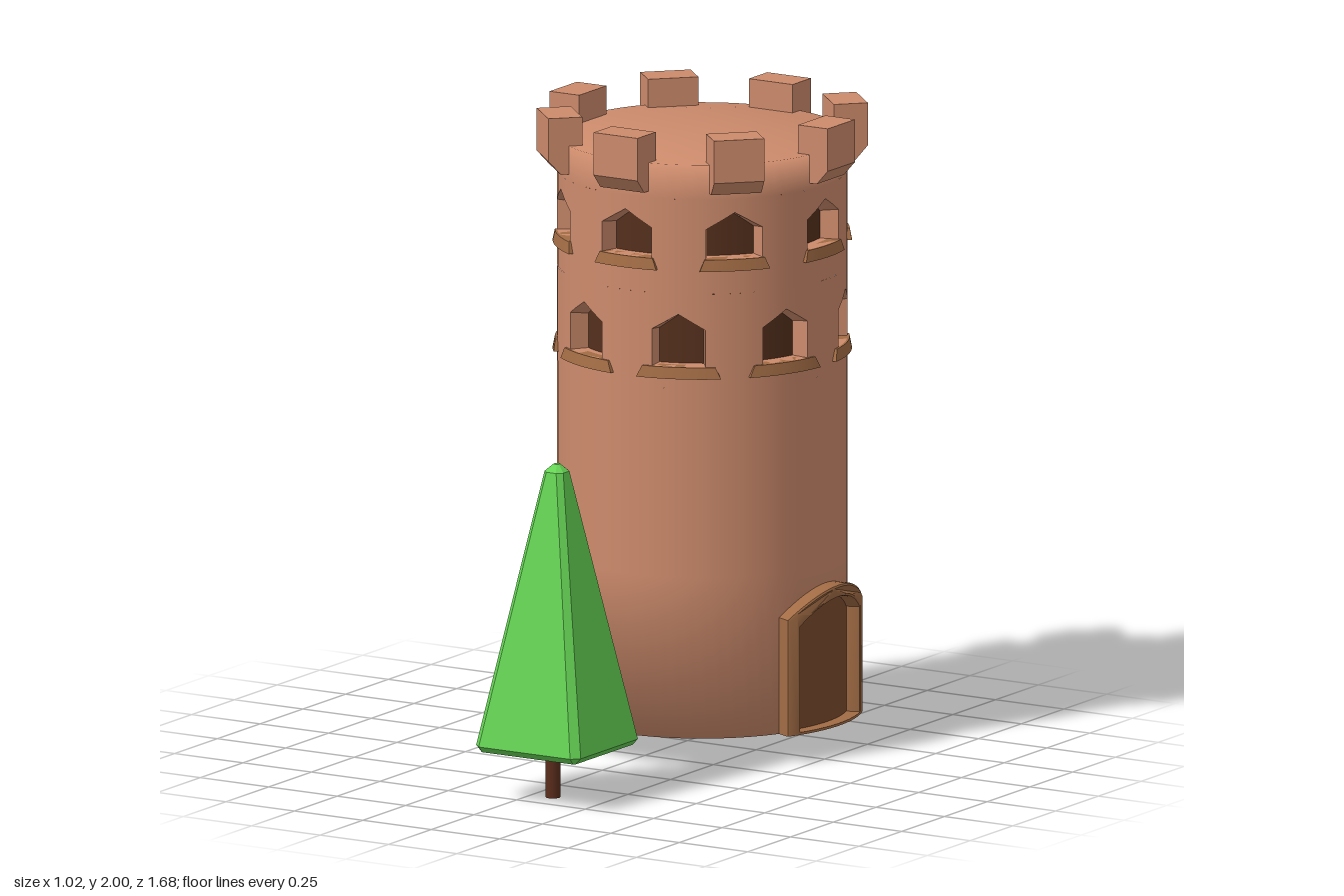
import * as THREE from 'three';
import { toCreasedNormals } from 'three/addons/utils/BufferGeometryUtils.js';
import { ConvexGeometry } from 'three/addons/geometries/ConvexGeometry.js';

const R = 0.45; // tower radius
const BASE = 0.09; // foot of the tower
const mat = (color, extra = {}) => new THREE.MeshStandardMaterial({ color, ...extra });

const stone = mat(0xcd8b6c);
const stoneThin = mat(0xcd8b6c, { side: THREE.DoubleSide });
const trim = mat(0xa26c45);
const dark = mat(0x55301d, { side: THREE.DoubleSide });
const doorWood = mat(0x7a4a2c, { side: THREE.DoubleSide });
const leaf = mat(0x66d455, { flatShading: true });
const bark = mat(0x5a2d1c);

function add(parent, name, geometry, material) {
  const mesh = new THREE.Mesh(geometry, material);
  mesh.name = name;
  parent.add(mesh);
  return mesh;
}

// Wraps a flat geometry round the tower: x becomes arc length, z becomes distance out from radius r
function bend(geometry, r) {
  const p = geometry.attributes.position;
  for (let i = 0; i < p.count; i++) {
    const a = p.getX(i) / R, d = r + p.getZ(i);
    p.setXYZ(i, d * Math.sin(a), p.getY(i), d * Math.cos(a));
  }
  geometry.computeVertexNormals();
  return geometry;
}

// Curved wall patch between two height functions of the arc position
function patch(u0, u1, bottom, top, r, segs) {
  const g = new THREE.PlaneGeometry(1, 1, segs, 1);
  const p = g.attributes.position;
  for (let i = 0; i < p.count; i++) {
    const u = u0 + (p.getX(i) + 0.5) * (u1 - u0);
    p.setXY(i, u, p.getY(i) > 0 ? top(u) : bottom(u));
  }
  bend(g, r);
  for (let i = 0; i < p.count; i++) {
    g.attributes.normal.setXYZ(i, p.getX(i) / r, 0, p.getZ(i) / r);
  }
  return g;
}

// Strip joining two closed loops of points
function loft(a, b) {
  const pts = [];
  a.forEach((p, i) => {
    const j = (i + 1) % a.length;
    pts.push(p, b[i], a[j], a[j], b[i], b[j]);
  });
  const g = new THREE.BufferGeometry().setFromPoints(pts);
  g.computeVertexNormals();
  return g;
}

// One eighth of a wall band, with a recessed gabled window and a sill
function windowBay(o) {
  const bay = new THREE.Group();
  bay.name = 'windowBay';
  const edge = R * Math.PI / 8, w = o.half;
  const low = () => o.y0, high = () => o.y1, foot = () => o.sill;
  const gable = u => o.peak - (o.peak - o.shoulder) * Math.abs(u) / w;
  add(bay, 'wallLeft', patch(w, edge, low, high, R, 3), stone);
  add(bay, 'wallRight', patch(-edge, -w, low, high, R, 3), stone);
  add(bay, 'wallBelow', patch(-w, w, low, foot, R, 4), stone);
  add(bay, 'wallAbove', patch(-w, w, gable, high, R, 4), stone);

  const depth = 0.06, k = 0.95;
  const outline = [[-1, 0], [-0.5, 0], [0, 0], [0.5, 0], [1, 0], [1, 1], [0.5, 1], [0, 1], [-0.5, 1], [-1, 1]];
  const loop = (r, s) => outline.map(([t, up]) => {
    const a = t * w * s / R;
    return new THREE.Vector3(r * Math.sin(a), up ? gable(t * w) - (1 - s) * 0.15 : o.sill, r * Math.cos(a));
  });
  add(bay, 'windowReveal', loft(loop(R, 1), loop(R - depth, k)), stoneThin);
  add(bay, 'windowPane', patch(-w * k, w * k, foot, u => gable(u / k) - (1 - k) * 0.15, R - depth, 4), dark);

  // Sill, narrower and shallower at its top
  const sill = new THREE.BoxGeometry(2 * o.ledge, 0.036, 0.05, 8, 1, 1);
  const p = sill.attributes.position;
  for (let i = 0; i < p.count; i++) {
    if (p.getY(i) > 0) {
      p.setX(i, p.getX(i) * 0.87);
      if (p.getZ(i) > 0) p.setZ(i, 0.018);
    }
  }
  sill.translate(0, o.sill - 0.018, 0);
  add(bay, 'windowSill', bend(sill, R - 0.011), trim);
  return bay;
}

function doorway() {
  const door = new THREE.Group();
  door.name = 'doorway';
  const arch = (w, shoulder, peak) => u => peak - (peak - shoulder) * (u / w) ** 2;
  const wo = 0.197, wi = 0.167, n = 16;
  const outer = arch(wo, 0.455, 0.53), inner = arch(wi, 0.435, 0.505);

  const pts = [new THREE.Vector2(-wo, BASE)];
  for (let i = 0; i <= n; i++) {
    const u = wo * (2 * i / n - 1);
    pts.push(new THREE.Vector2(u, outer(u)));
  }
  pts.push(new THREE.Vector2(wo, BASE), new THREE.Vector2(wi, BASE));
  for (let i = 0; i <= n; i++) {
    const u = wi * (1 - 2 * i / n);
    pts.push(new THREE.Vector2(u, inner(u)));
  }
  pts.push(new THREE.Vector2(-wi, BASE));
  const frame = new THREE.ExtrudeGeometry(new THREE.Shape(pts), {
    depth: 0.055, bevelThickness: 0.01, bevelSize: 0.008, bevelSegments: 2,
  });
  // Keep the bevel from hanging below the foot of the tower
  const p = frame.attributes.position;
  for (let i = 0; i < p.count; i++) p.setY(i, Math.max(p.getY(i), BASE));
  add(door, 'doorFrame', toCreasedNormals(bend(frame, R - 0.015), 0.6), trim);

  add(door, 'doorPanel', patch(-0.18, 0.18, () => BASE, arch(0.18, 0.44, 0.515), R + 0.006, 16), doorWood);
  const step = new THREE.BoxGeometry(2 * wo, 0.008, 0.06, 12, 1, 1).translate(0, BASE + 0.004, 0);
  add(door, 'doorStep', bend(step, R + 0.02), trim);
  door.rotation.y = Math.PI / 2;
  return door;
}

function tower() {
  const g = new THREE.Group();
  g.name = 'tower';
  const lathe = pts => new THREE.LatheGeometry(pts.map(p => new THREE.Vector2(...p)), 64);
  add(g, 'lowerWall', lathe([[0, BASE], [R, BASE], [R, 0.6], [R, 1.2]]), stone);
  add(g, 'roofAndRim', lathe([[R, 1.8], [R, 1.91], [0, 1.91]]), stone);

  const rows = [
    { y0: 1.2, y1: 1.5, sill: 1.268, shoulder: 1.385, peak: 1.435, half: 0.085, ledge: 0.132, turn: Math.PI / 8 },
    { y0: 1.5, y1: 1.8, sill: 1.61, shoulder: 1.705, peak: 1.757, half: 0.091, ledge: 0.11, turn: 0 },
  ];
  // Battlement block, seen from the side: distance out, height
  const profile = [[0.4, 2], [0.4, 1.89], [0.43, 1.82], [0.468, 1.82], [0.508, 1.865], [0.508, 2]];
  const block = new THREE.ExtrudeGeometry(
    new THREE.Shape(profile.map(p => new THREE.Vector2(...p))),
    { depth: 0.16, bevelEnabled: false },
  ).translate(0, 0, -0.08).rotateY(-Math.PI / 2);

  for (let i = 0; i < 8; i++) {
    const a = i * Math.PI / 4;
    for (const row of rows) {
      const bay = windowBay(row);
      bay.rotation.y = a + row.turn;
      g.add(bay);
    }
    add(g, 'battlement', block, stone).rotation.y = a;
  }
  g.add(doorway());
  g.position.z = -0.335;
  return g;
}

function tree() {
  const g = new THREE.Group();
  g.name = 'tree';
  // Square sections with cut corners: height, half width, corner cut
  const sections = [[0.155, 0.172, 0.006], [0.175, 0.191, 0.024], [1.035, 0.034, 0.016], [1.058, 0.01, 0.006]];
  const pts = [];
  for (const [y, h, c] of sections) {
    for (const sx of [-1, 1]) for (const sz of [-1, 1]) {
      pts.push(new THREE.Vector3(sx * h, y, sz * (h - c)), new THREE.Vector3(sx * (h - c), y, sz * h));
    }
  }
  add(g, 'foliage', new ConvexGeometry(pts), leaf);
  add(g, 'trunk', new THREE.CylinderGeometry(0.023, 0.023, 0.2, 12), bark).position.set(-0.011, 0.1, 0.006);
  g.position.set(0.084, 0, 0.649);
  return g;
}

export function createModel() {
  const model = new THREE.Group();
  model.name = 'towerAndTree';
  model.add(tower(), tree());
  return model;
}
